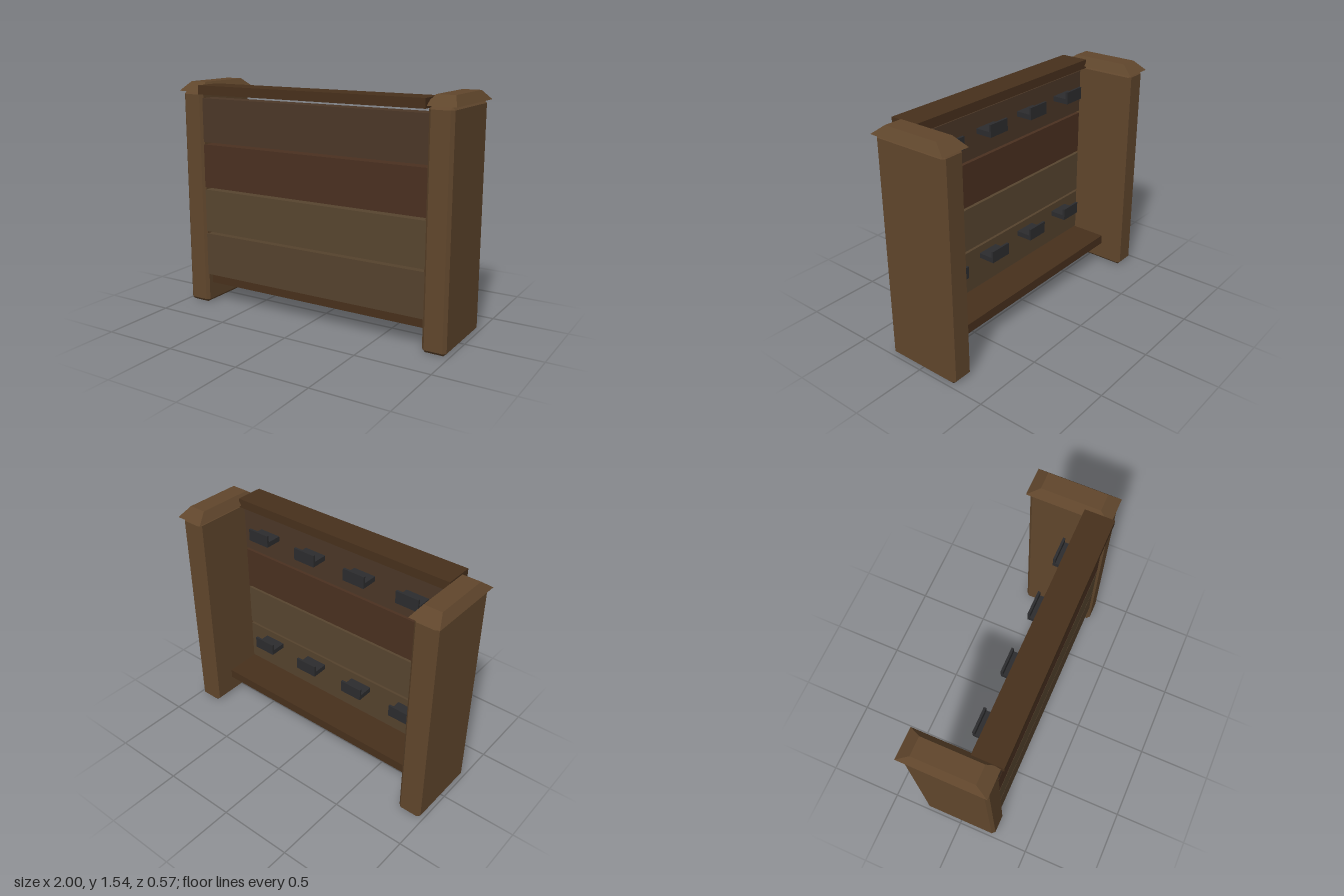
import * as THREE from 'three';
import { ConvexGeometry } from 'three/addons/geometries/ConvexGeometry.js';

const paint = (color) => new THREE.MeshStandardMaterial({ color, flatShading: true });
const postWood = paint(0x60462c);
const railWood = paint(0x47301c);
const iron = paint(0x2c2c2e);
const plankWoods = [0x55422d, 0x57452f, 0x4a3020, 0x4b3727].map(paint);

// Box given by its lower and upper corners
function box(name, [x0, y0, z0], [x1, y1, z1], material) {
  const mesh = new THREE.Mesh(new THREE.BoxGeometry(x1 - x0, y1 - y0, z1 - z0), material);
  mesh.position.set((x0 + x1) / 2, (y0 + y1) / 2, (z0 + z1) / 2);
  mesh.name = name;
  return mesh;
}

// Box with every edge chamfered by b
function chamferedBox(w, h, d, b) {
  const points = [];
  for (const sx of [-1, 1]) for (const sy of [-1, 1]) for (const sz of [-1, 1]) {
    for (let axis = 0; axis < 3; axis++) {
      const inset = [0, 1, 2].map((i) => (i === axis ? 0 : b));
      points.push(new THREE.Vector3(
        sx * (w / 2 - inset[0]), sy * (h / 2 - inset[1]), sz * (d / 2 - inset[2])));
    }
  }
  return new ConvexGeometry(points);
}

// Cap: a rectangle tapering to a smaller one
function capGeometry() {
  const points = [];
  for (const [y, hx, z0, z1] of [[1.48, 0.1, -0.285, 0.265], [1.54, 0.06, -0.205, 0.185]]) {
    for (const x of [-hx, hx]) for (const z of [z0, z1]) points.push(new THREE.Vector3(x, y, z));
  }
  return new ConvexGeometry(points);
}

export function createModel() {
  const model = new THREE.Group();
  model.name = 'plankBarrier';

  // Posts with tapered caps
  for (const side of [-1, 1]) {
    const name = side > 0 ? 'left' : 'right';
    const post = new THREE.Mesh(chamferedBox(0.16, 1.48, 0.525, 0.02), postWood);
    post.position.set(side * 0.9, 0.74, -0.0075);
    post.name = name + 'Post';
    const cap = new THREE.Mesh(capGeometry(), postWood);
    cap.position.x = side * 0.9;
    cap.name = name + 'Cap';
    model.add(post, cap);
  }

  // Wall of four planks with narrow gaps
  plankWoods.forEach((wood, i) => {
    const y = 0.207 + i * 0.3115;
    model.add(box('plank' + (i + 1), [-0.825, y, 0.136], [0.825, y + 0.295, 0.24], wood));
  });

  // Top rail and rear step
  model.add(box('topRail', [-0.82, 1.465, 0.09], [0.82, 1.525, 0.285], railWood));
  model.add(box('rearStep', [-0.825, 0.135, -0.11], [0.825, 0.2, 0.2], railWood));

  // Two rows of hooks on the back: a floor with an upright lip
  for (const y of [0.415, 1.295]) for (const x of [-0.59, -0.197, 0.197, 0.59]) {
    const hook = new THREE.Group();
    hook.name = 'hook';
    hook.add(box('hookFloor', [-0.08, 0, 0.035], [0.08, 0.035, 0.14], iron));
    hook.add(box('hookLip', [-0.08, 0, 0.02], [0.08, 0.083, 0.035], iron));
    hook.position.set(x, y, 0);
    model.add(hook);
  }
  return model;
}
